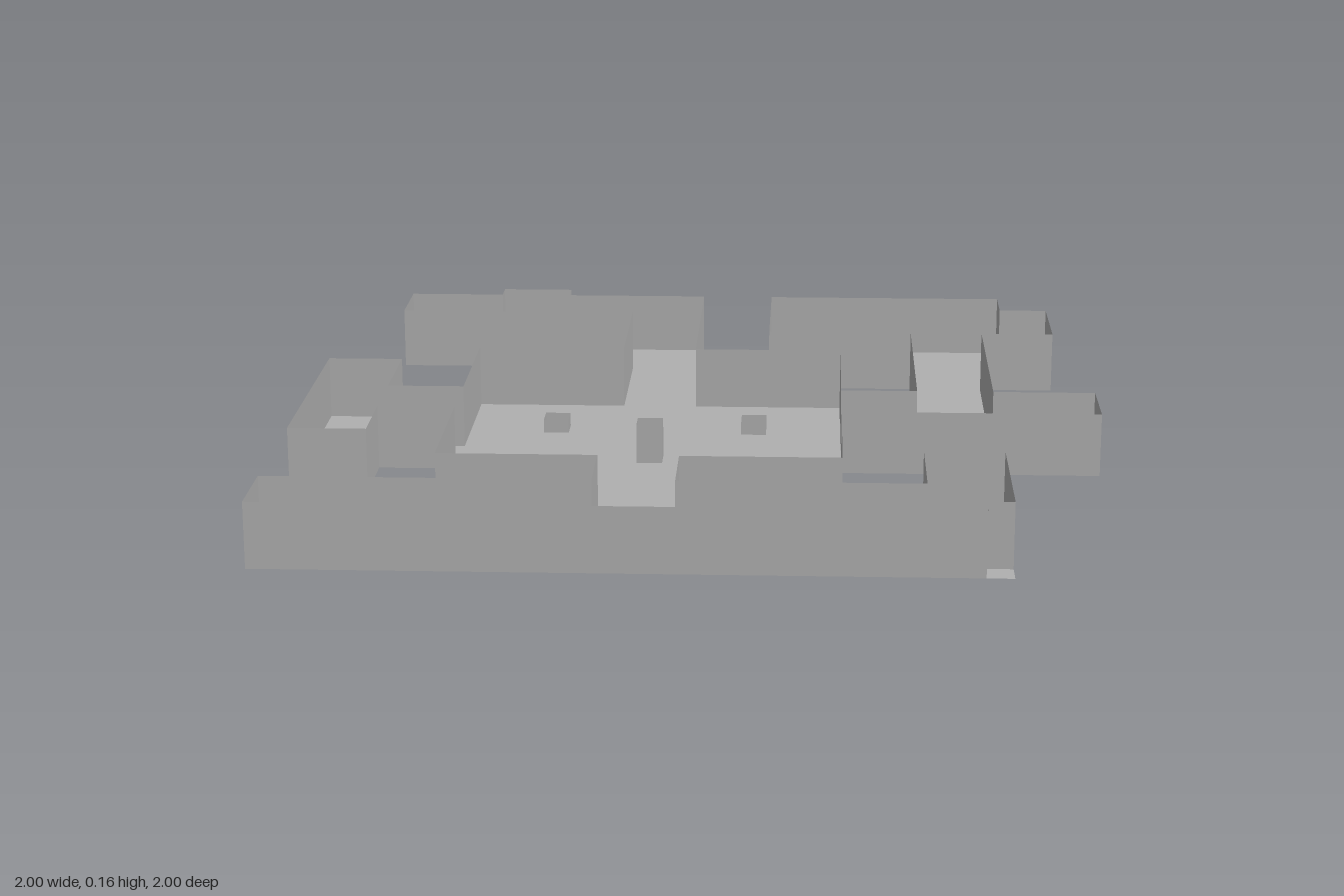
import * as THREE from 'three';

const CELL = 2 / 31; // plan is laid out on a 31 x 31 grid
const WALL_HEIGHT = 0.16;

// Floor outline in grid cells: [column, row], row 0 at the back
const OUTLINE = [
  [2, 1], [6, 1], [6, 0], [9, 0], [9, 1], [15, 1], [15, 10], [21, 10], [21, 16], [24, 16],
  [24, 7], [18, 7], [18, 1], [28, 1], [28, 3], [30, 3], [30, 7], [27, 7], [27, 16],
  [31, 16], [31, 19], [21, 19], [21, 25], [15, 25], [15, 28], [24, 28], [24, 24], [27, 24],
  [27, 31], [0, 31], [0, 28], [12, 28], [12, 25], [6, 25], [6, 19], [3, 19], [3, 22], [0, 22],
  [0, 12], [3, 12], [3, 16], [6, 16], [6, 10], [12, 10], [12, 4], [2, 4],
];

const toWorld = ([c, r]) => new THREE.Vector2(c * CELL - 1, r * CELL - 1);

// Closed ring of upright zero-thickness walls
function wallRing(name, cells, height, material) {
  const ring = new THREE.Group();
  ring.name = name;
  const points = cells.map(toWorld);
  points.forEach((a, i) => {
    const b = points[(i + 1) % points.length];
    const panel = new THREE.Mesh(new THREE.PlaneGeometry(a.distanceTo(b), height), material);
    panel.name = name + 'Panel';
    panel.position.set((a.x + b.x) / 2, height / 2, (a.y + b.y) / 2);
    // Plane normals face away from the enclosed area
    panel.rotation.y = Math.PI - Math.atan2(b.y - a.y, b.x - a.x);
    ring.add(panel);
  });
  return ring;
}

// One-cell open-topped pillar
function pillar(name, c, r, height, material) {
  return wallRing(name, [[c, r], [c + 1, r], [c + 1, r + 1], [c, r + 1]], height, material);
}

export function createModel() {
  const model = new THREE.Group();
  model.name = 'dungeonFloorPlan';
  const stone = new THREE.MeshStandardMaterial({ color: 0xb0b0b0, side: THREE.DoubleSide });
  stone.name = 'grey stone';

  // Floor of rooms and corridors
  const floorGeometry = new THREE.ShapeGeometry(new THREE.Shape(OUTLINE.map(toWorld)));
  floorGeometry.rotateX(Math.PI / 2);
  const floor = new THREE.Mesh(floorGeometry, stone);
  floor.name = 'floor';
  model.add(floor);

  // Outer walls, stepping inwards around the front left corner
  const wallLine = OUTLINE.flatMap((p) =>
    p[0] === 27 && p[1] === 31 ? [[27, 30], [26.05, 30], [26, 31]] : [p]);
  model.add(wallRing('wall', wallLine, WALL_HEIGHT, stone));

  // Tall pillar in the main hall with four low ones around it
  model.add(pillar('centrePillar', 13, 17, 0.1, stone));
  for (const dx of [-4, 4]) {
    for (const dz of [-4, 4]) {
      model.add(pillar('lowPillar', 13 + dx, 17 + dz, 0.035, stone));
    }
  }
  return model;
}
